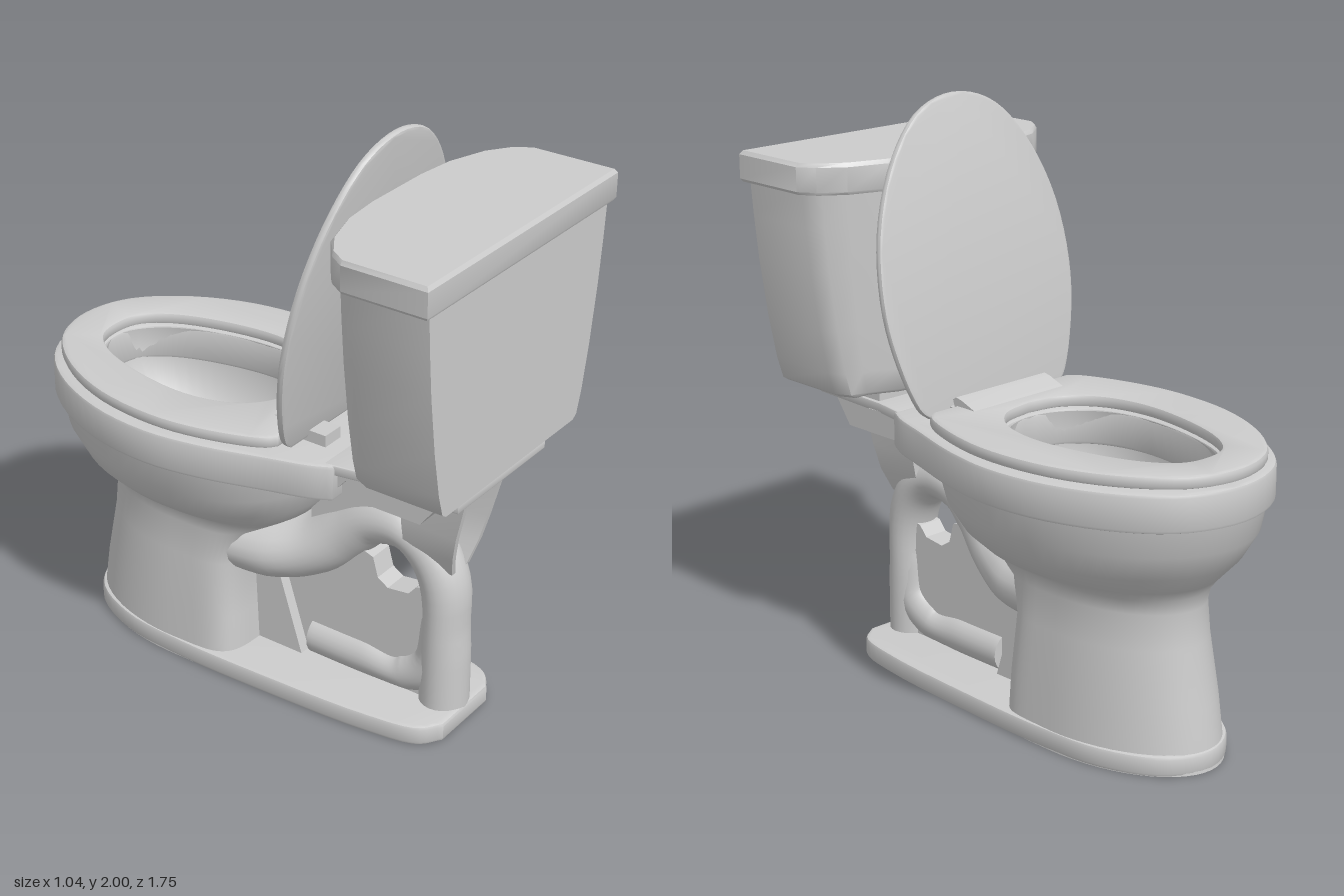
import * as THREE from 'three';
import { toCreasedNormals } from 'three/addons/utils/BufferGeometryUtils.js';

const material = new THREE.MeshStandardMaterial({ color: 0xcccccc, side: THREE.DoubleSide });

function add(group, name, geometry, crease = 0.6) {
  const mesh = new THREE.Mesh(toCreasedNormals(geometry, crease), material);
  mesh.name = name;
  group.add(mesh);
  return mesh;
}

// Skin over rings of equal length, with optional caps
function loft(rings, capStart = true, capEnd = true) {
  const n = rings[0].length, points = rings.flat(), index = [];
  for (let i = 0; i < rings.length - 1; i++) {
    for (let j = 0; j < n; j++) {
      const a = i * n + j, b = i * n + (j + 1) % n;
      index.push(a, a + n, b, b, a + n, b + n);
    }
  }
  const cap = (row, flip) => {
    const centre = new THREE.Vector3();
    rings[row].forEach(p => centre.addScaledVector(p, 1 / n));
    const c = points.push(centre) - 1;
    for (let j = 0; j < n; j++) {
      const a = row * n + j, b = row * n + (j + 1) % n;
      index.push(c, ...(flip ? [a, b] : [b, a]));
    }
  };
  if (capStart) cap(0, true);
  if (capEnd) cap(rings.length - 1, false);
  const g = new THREE.BufferGeometry().setFromPoints(points);
  g.setIndex(index);
  return g;
}

// Egg-shaped level ring; power > 2 squares off the back half
function egg(y, halfWidth, front, back, mid, power = 2) {
  const ring = [];
  for (let i = 0; i < 56; i++) {
    const t = i / 56 * Math.PI * 2, c = Math.cos(t), s = Math.sin(t);
    const e = s > 0 ? 2 / power : 1;
    const x = halfWidth * Math.sign(c) * Math.abs(c) ** e;
    const z = s > 0 ? mid + (back - mid) * s ** e : mid + (mid - front) * s;
    ring.push(new THREE.Vector3(x, y, z));
  }
  return ring;
}

// Symmetrical plan outline through [x, z] points running from back to front
function outline(half) {
  const all = [...half, ...half.slice(0, -1).reverse().map(([x, z]) => [-x, z])];
  const curve = new THREE.CatmullRomCurve3(all.map(([x, z]) => new THREE.Vector3(x, -z, 0)));
  return curve.getPoints(64).map(p => new THREE.Vector2(p.x, p.y));
}

function slab(points, y, height, bevel = 0.01, hole = null) {
  const shape = new THREE.Shape(points);
  if (hole) shape.holes.push(new THREE.Path(hole));
  const g = new THREE.ExtrudeGeometry(shape, {
    depth: height - 2 * bevel, bevelEnabled: true, bevelThickness: bevel,
    bevelSize: bevel, bevelOffset: -bevel, bevelSegments: 2,
  });
  return g.rotateX(-Math.PI / 2).translate(0, y + bevel, 0);
}

// Upright plate from a [z, y] outline, centred on x
function plate(points, thickness) {
  const shape = new THREE.Shape(points.map(p => new THREE.Vector2(...p)));
  return new THREE.ExtrudeGeometry(shape, { depth: thickness, bevelEnabled: false })
    .translate(0, 0, -thickness / 2).rotateY(-Math.PI / 2);
}

// Pipe along [z, y, radius, sideRadius] points
function pipe(stops) {
  const path = new THREE.CatmullRomCurve3(stops.map(([z, y]) => new THREE.Vector3(0, y, z)));
  const radii = new THREE.CatmullRomCurve3(stops.map(s => new THREE.Vector3(s[2], s[3], 0)));
  const X = new THREE.Vector3(1, 0, 0), rings = [], steps = 40;
  for (let i = 0; i <= steps; i++) {
    const u = i / steps, p = path.getPoint(u), r = radii.getPoint(u);
    const N = X.clone().cross(path.getTangent(u));
    rings.push(Array.from({ length: 24 }, (_, k) => {
      const t = k / 24 * Math.PI * 2;
      return p.clone().addScaledVector(X, r.y * Math.cos(t)).addScaledVector(N, r.x * Math.sin(t));
    }));
  }
  return loft(rings);
}

// Tank plan: straight back and sides, bowed front
function tankRing(y, w, front, back, side = 0.59) {
  const half = [[w, back], [w, side], [w * 0.93, side - 0.055], [w * 0.78, front + 0.06],
    [w * 0.52, front + 0.018], [w * 0.25, front + 0.004]];
  const right = half.map(([x, z]) => new THREE.Vector3(x, y, z));
  const left = half.map(([x, z]) => new THREE.Vector3(-x, y, z));
  return [...right, ...left.reverse()].reverse();
}

// Thin rib that closes in towards the bottom, from [y, x, back z] stations
function ribGeometry(side) {
  return loft([[0.58, 0.04, 0.695], [0.66, 0.075, 0.715], [0.75, 0.092, 0.735], [0.96, 0.105, 0.785]]
    .map(([y, x, back]) => [[0.01, 0.53], [0.01, back], [-0.01, back], [-0.01, 0.53]]
      .map(([dx, z]) => new THREE.Vector3(side * x + dx, y, z))));
}

export function createModel() {
  const model = new THREE.Group();
  model.name = 'toilet';

  // Foot on the floor
  const foot = outline([[0.13, 0.735], [0.2, 0.68], [0.24, 0.5], [0.265, 0.1], [0.27, -0.25],
    [0.245, -0.5], [0.15, -0.69], [0, -0.76]]);
  add(model, 'foot', slab(foot, 0, 0.07, 0.012));

  // Pedestal flowing up into the bowl
  add(model, 'pedestalAndBowl', loft([
    egg(0, 0.265, -0.76, -0.04, -0.3, 5),
    egg(0.2, 0.255, -0.73, -0.05, -0.3, 5),
    egg(0.4, 0.24, -0.69, -0.06, -0.3, 4.5),
    egg(0.52, 0.23, -0.68, -0.02, -0.3, 4),
    egg(0.57, 0.24, -0.69, 0.07, -0.3, 3.2),
    egg(0.61, 0.3, -0.72, 0.13, -0.28, 2.6),
    egg(0.68, 0.375, -0.785, 0.19, -0.25, 2.4),
    egg(0.77, 0.425, -0.84, 0.225, -0.22, 2.4),
    egg(0.87, 0.443, -0.862, 0.25, -0.2, 2.4),
  ], true, false), 0.8);

  // Rim, open over the basin
  const opening = outline([[0, 0.06], [0.12, 0.035], [0.205, -0.05], [0.247, -0.2], [0.23, -0.4],
    [0.165, -0.6], [0.09, -0.69], [0, -0.71]]);
  const rim = outline([[0.29, 0.4], [0.325, 0.33], [0.365, 0.2], [0.43, -0.02], [0.458, -0.22],
    [0.43, -0.45], [0.33, -0.68], [0.195, -0.82], [0, -0.875]]);
  add(model, 'rim', slab(rim, 0.86, 0.125, 0.012, opening));

  // Basin inside the bowl
  add(model, 'basin', loft([
    egg(0.98, 0.25, -0.715, 0.06, -0.22),
    egg(0.86, 0.28, -0.72, 0.07, -0.22),
    egg(0.72, 0.22, -0.62, 0.03, -0.2),
    egg(0.62, 0.14, -0.42, -0.02, -0.18),
    egg(0.56, 0.09, -0.28, -0.06, -0.17),
  ], false, true), 0.9);

  // Deck carrying the tank, thickened on either side of the rear slot
  add(model, 'deck', slab([[-0.29, -0.36], [0.29, -0.36], [0.265, -0.5], [0.25, -0.83], [-0.25, -0.83],
    [-0.265, -0.5]].map(p => new THREE.Vector2(...p)), 0.95, 0.035, 0.006));
  for (const s of [-1, 1]) {
    const shoulder = add(model, 'deckShoulder', plate([[0.25, 0.86], [0.69, 0.86], [0.76, 0.955], [0.25, 0.96]], 0.15));
    shoulder.position.x = s * 0.165;
    const bracket = add(model, 'deckBracket', plate([[0.3, 0.86], [0.36, 0.865], [0.4, 0.9], [0.43, 0.935],
      [0.56, 0.955], [0.3, 0.96]], 0.03));
    bracket.position.x = s * 0.25;
    add(model, 'rearRib', ribGeometry(s));
  }
  add(model, 'rearWall', plate([[0.15, 0.88], [0.55, 0.96], [0.55, 0.66], [0.4, 0.66], [0.28, 0.58],
    [0.15, 0.55]], 0.11));

  // Trapway: flares out of the bowl, arches over and drops to the foot
  add(model, 'trapway', pipe([[-0.12, 0.45, 0.13, 0.21], [0.03, 0.455, 0.125, 0.19], [0.16, 0.495, 0.11, 0.14],
    [0.28, 0.585, 0.095, 0.1], [0.37, 0.65, 0.083, 0.09], [0.48, 0.67, 0.08, 0.09],
    [0.58, 0.62, 0.08, 0.09], [0.64, 0.51, 0.08, 0.09], [0.65, 0.3, 0.08, 0.09],
    [0.652, 0.04, 0.082, 0.09]]), 0.9);
  add(model, 'trapwayFoot', pipe([[0.645, 0.36, 0.075, 0.08], [0.62, 0.2, 0.08, 0.08],
    [0.52, 0.13, 0.075, 0.08], [0.35, 0.125, 0.075, 0.08], [0.15, 0.125, 0.075, 0.08]]), 0.9);
  add(model, 'trapwayWeb', plate([[-0.08, 0.05], [0.64, 0.05], [0.64, 0.5], [0.56, 0.48], [0.53, 0.445],
    [0.45, 0.435], [0.41, 0.46], [0.39, 0.53], [0.3, 0.56], [-0.08, 0.4]], 0.09));
  add(model, 'pedestalFlank', plate([[-0.08, 0.05], [0.14, 0.05], [0.04, 0.36], [-0.08, 0.38]], 0.17));

  // Seat, hinge and raised cover
  const seat = outline([[0.3, 0.2], [0.335, 0.17], [0.4, 0], [0.43, -0.2], [0.4, -0.45],
    [0.3, -0.67], [0.165, -0.81], [0, -0.855]]);
  add(model, 'seat', slab(seat, 0.99, 0.042, 0.012, opening));
  const cover = slab(seat, -0.026, 0.026, 0.009).translate(0, 0, -0.2).scale(0.965, 1, 0.967);
  cover.rotateX(Math.PI / 2 + 0.185).translate(0, 0.997, 0.242);
  add(model, 'cover', cover);
  add(model, 'hingeCover', plate([[0.09, 1.025], [0.2, 1.02], [0.21, 1.05], [0.195, 1.06], [0.17, 1.055]], 0.4));
  for (const s of [-1, 1]) {
    const post = add(model, 'hingePost', new THREE.BoxGeometry(0.08, 0.05, 0.12));
    post.position.set(s * 0.165, 1.0, 0.25);
  }

  // Tank, its gasket and its lid
  add(model, 'tankGasket', new THREE.BoxGeometry(0.5, 0.05, 0.3)).position.set(0, 1.0, 0.67);
  add(model, 'tank', loft([[1.012, 0.365, 0.475], [1.025, 0.385, 0.462], [1.1, 0.408, 0.458], [1.25, 0.438, 0.452],
    [1.45, 0.467, 0.444], [1.6, 0.482, 0.438], [1.73, 0.492, 0.434]]
    .map(([y, w, front]) => tankRing(y, w, front, 0.86))), 1);
  add(model, 'tankLid', loft([[1.715, 0.515, 0.41, 0.868], [1.725, 0.522, 0.405, 0.873],
    [1.805, 0.522, 0.405, 0.873], [1.818, 0.512, 0.413, 0.864]]
    .map(([y, w, front, back]) => tankRing(y, w, front, back, 0.58))));
  return model;
}
